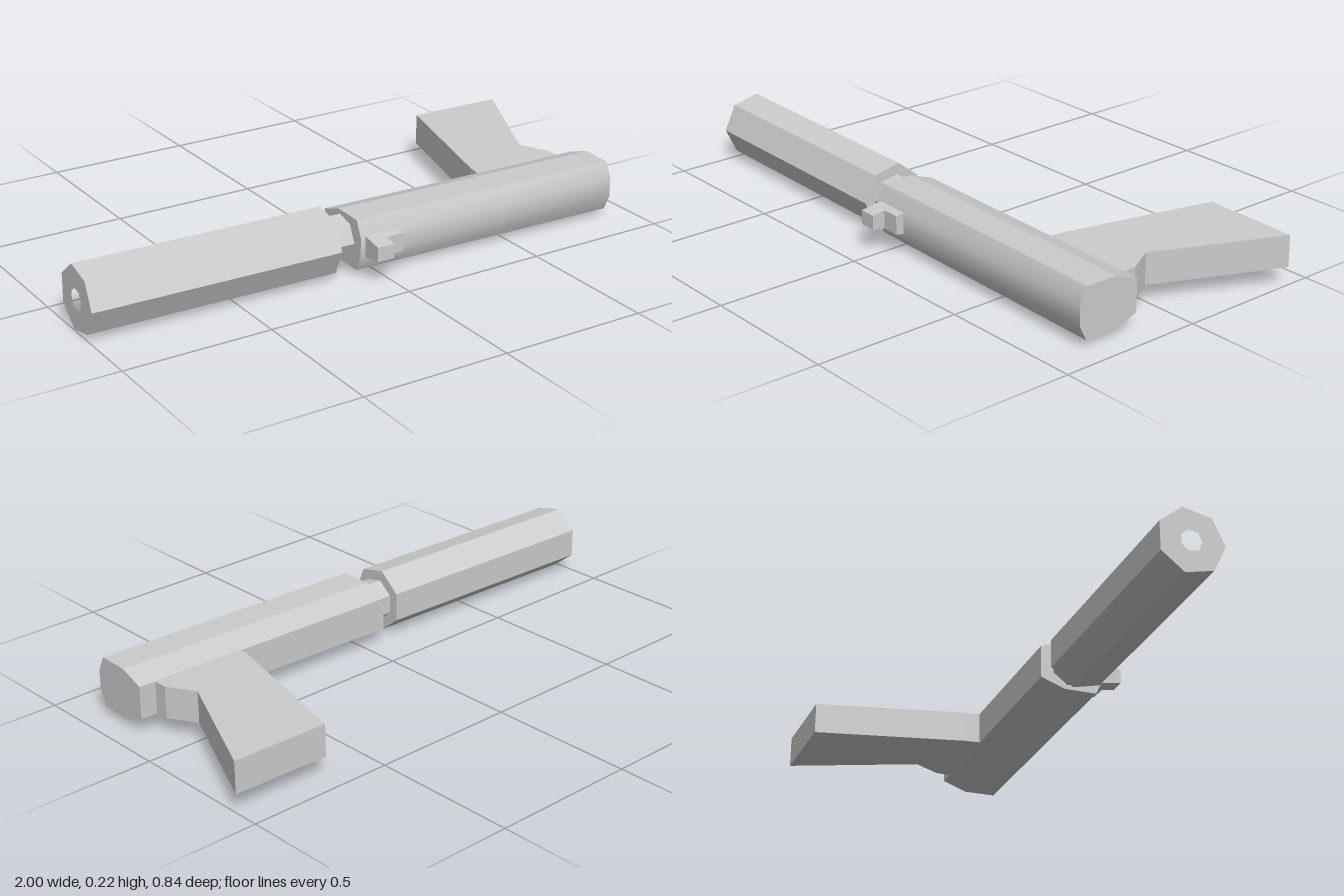
import * as THREE from 'three';
import { toCreasedNormals } from 'three/addons/utils/BufferGeometryUtils.js';

const material = new THREE.MeshStandardMaterial({ color: 0xcccccc });
const AXIS_Y = 0.112, AXIS_Z = 0.235;

function part(name, geometry) {
  const mesh = new THREE.Mesh(geometry, material);
  mesh.name = name;
  return mesh;
}

// Cross-section of [z, y] points, run along x from x0 to x1
function alongX(section, x0, x1, hole) {
  const flip = (pts) => pts.map(([z, y]) => new THREE.Vector2(-z, y));
  const shape = new THREE.Shape(flip(section));
  if (hole) shape.holes.push(new THREE.Path(flip(hole)));
  const g = new THREE.ExtrudeGeometry(shape, { depth: x1 - x0, bevelEnabled: false });
  return g.rotateY(Math.PI / 2).translate(x0, 0, 0);
}

// Plan outline of [x, z] points, run upward from y0 to y1
function alongY(outline, y0, y1) {
  const shape = new THREE.Shape(outline.map(([x, z]) => new THREE.Vector2(x, -z)));
  const g = new THREE.ExtrudeGeometry(shape, { depth: y1 - y0, bevelEnabled: false });
  return g.rotateX(-Math.PI / 2).translate(0, y0, 0);
}

// Regular polygon around the barrel axis, one corner facing +z
function ring(radius, sides = 7) {
  return Array.from({ length: sides }, (_, i) => {
    const a = (i / sides) * Math.PI * 2;
    return [AXIS_Z + radius * Math.cos(a), AXIS_Y + radius * Math.sin(a)];
  });
}

export function createModel() {
  const model = new THREE.Group();
  model.name = 'model';

  // Barrel assembly, turned slightly about the vertical
  const upper = new THREE.Group();
  upper.name = 'upper';
  upper.rotation.y = -0.028;
  upper.position.x = 0.008;
  model.add(upper);

  upper.add(part('suppressor', alongX(ring(0.111), -1, -0.145, ring(0.036))));
  upper.add(part('barrel', alongX(ring(0.073), -0.16, -0.06)));

  // Slide: rounded upper side and chamfered lower side
  const slideTop = alongX([
    [0.21, 0.026], [0.32, 0.026], [0.346, 0.079], [0.346, 0.145], [0.32, 0.198], [0.21, 0.198],
  ], -0.078, 0.91);
  upper.add(part('slide', toCreasedNormals(slideTop, 0.6)));
  upper.add(part('frame', alongX([
    [0.21, 0.026], [0.21, 0.198], [0.126, 0.168], [0.126, 0.057],
  ], -0.078, 0.91)));

  // Front sight: stepped block that narrows outward
  const sight = alongY([
    [-0.06, 0.33], [0.063, 0.33], [0.063, 0.374], [0, 0.374], [0, 0.419], [-0.06, 0.419],
  ], -1, 1);
  const p = sight.attributes.position;
  for (let i = 0; i < p.count; i++) {
    const half = 0.036 - 0.16 * (p.getZ(i) - 0.345);
    p.setY(i, AXIS_Y + half * p.getY(i));
  }
  sight.computeVertexNormals();
  upper.add(part('frontSight', sight));

  // Grip, rising very slightly toward its end
  const grip = part('grip', alongY([
    [0.525, 0.2], [0.525, 0.13], [0.532, 0.085], [0.665, -0.424], [1, -0.416],
    [0.803, 0.005], [0.855, 0.1], [0.855, 0.2],
  ], 0.0605, 0.1685));
  grip.rotation.x = 0.011;
  model.add(grip);

  return model;
}
